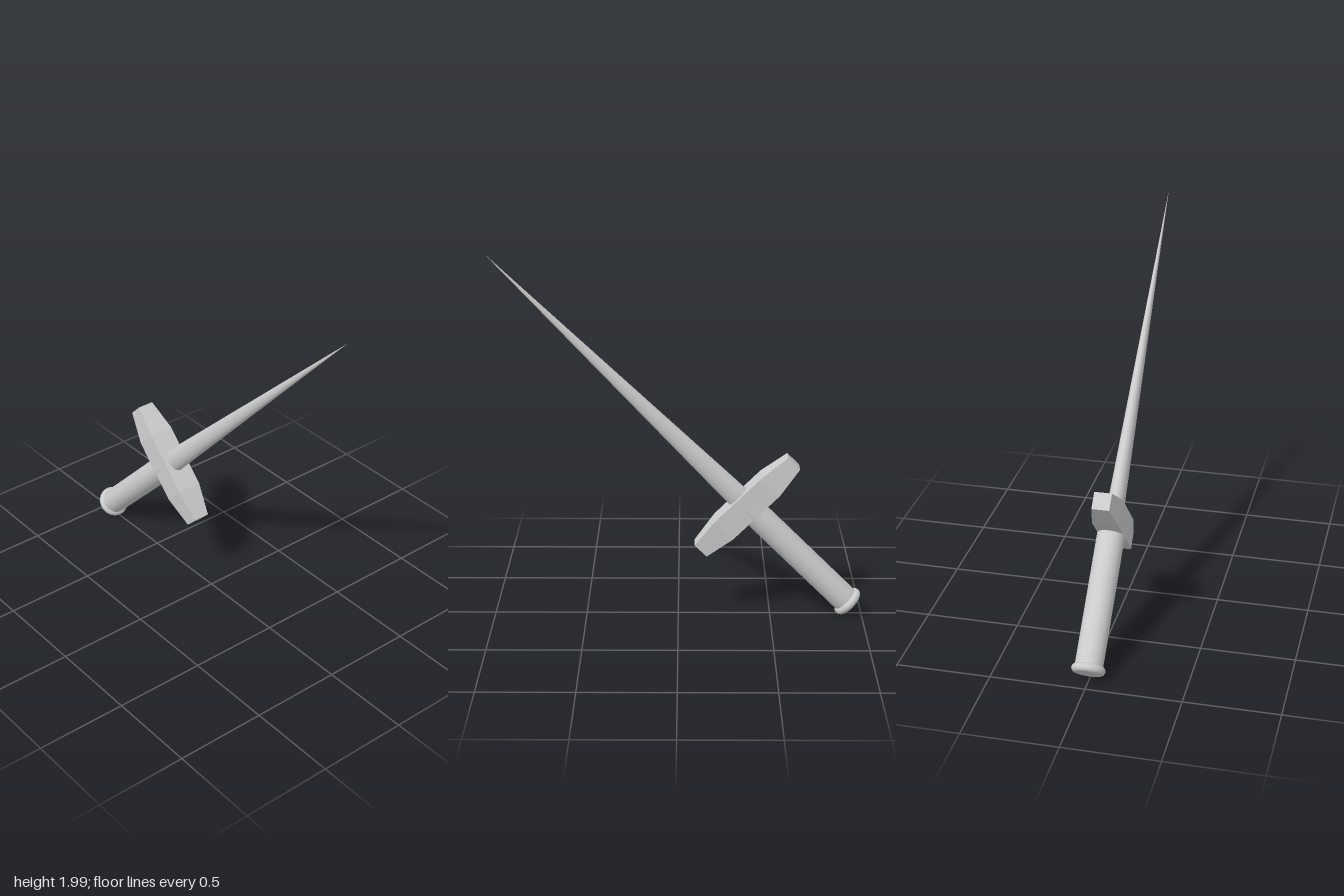
import * as THREE from 'three';
import { ConvexGeometry } from 'three/addons/geometries/ConvexGeometry.js';

const SIDES = 32;

export function createModel() {
  const model = new THREE.Group();
  const dagger = new THREE.Group();
  dagger.name = 'dagger';
  model.add(dagger);

  const add = (name, geometry, y, flatShading = false) => {
    const material = new THREE.MeshStandardMaterial({ color: 0xcccccc, flatShading });
    const mesh = new THREE.Mesh(geometry, material);
    mesh.name = name;
    mesh.position.y = y;
    dagger.add(mesh);
    return mesh;
  };

  // Blade: long needle with an oval section, rooted inside the guard
  const guardY = -0.52, tipY = 1.414;
  const bladeLength = tipY - guardY;
  const blade = add('blade', new THREE.ConeGeometry(0.065, bladeLength, SIDES), guardY + bladeLength / 2);
  blade.scale.z = 0.72;

  // Guard: square bar whose two ends taper
  const corners = [];
  for (const [x, half] of [[0.175, 0.07], [0.35, 0.046]])
    for (const sx of [-1, 1])
      for (const sy of [-1, 1])
        for (const sz of [-1, 1])
          corners.push(new THREE.Vector3(sx * x, sy * half, sz * half));
  add('guard', new ConvexGeometry(corners), guardY, true);

  // Grip: plain round rod
  const gripBottom = -1.31;
  const gripLength = guardY - gripBottom;
  add('grip', new THREE.CylinderGeometry(0.073, 0.073, gripLength, SIDES), gripBottom + gripLength / 2);

  // Pommel: flat disc with a rounded rim
  const radius = 0.088, bevel = 0.023;
  const rim = [];
  for (let i = 0; i <= 8; i++) {
    const a = -Math.PI / 2 + (i / 8) * Math.PI;
    rim.push(new THREE.Vector2(radius - bevel + bevel * Math.cos(a), bevel * Math.sin(a)));
  }
  add('pommelRim', new THREE.LatheGeometry(rim, SIDES), -1.307);
  const cap = add('pommelCap', new THREE.CircleGeometry(radius - bevel, SIDES), -1.33);
  cap.rotation.x = Math.PI / 2;

  // Lean the whole weapon so the tip points up to the left
  dagger.rotation.z = -Math.PI / 4;
  dagger.position.y = 1;
  return model;
}
